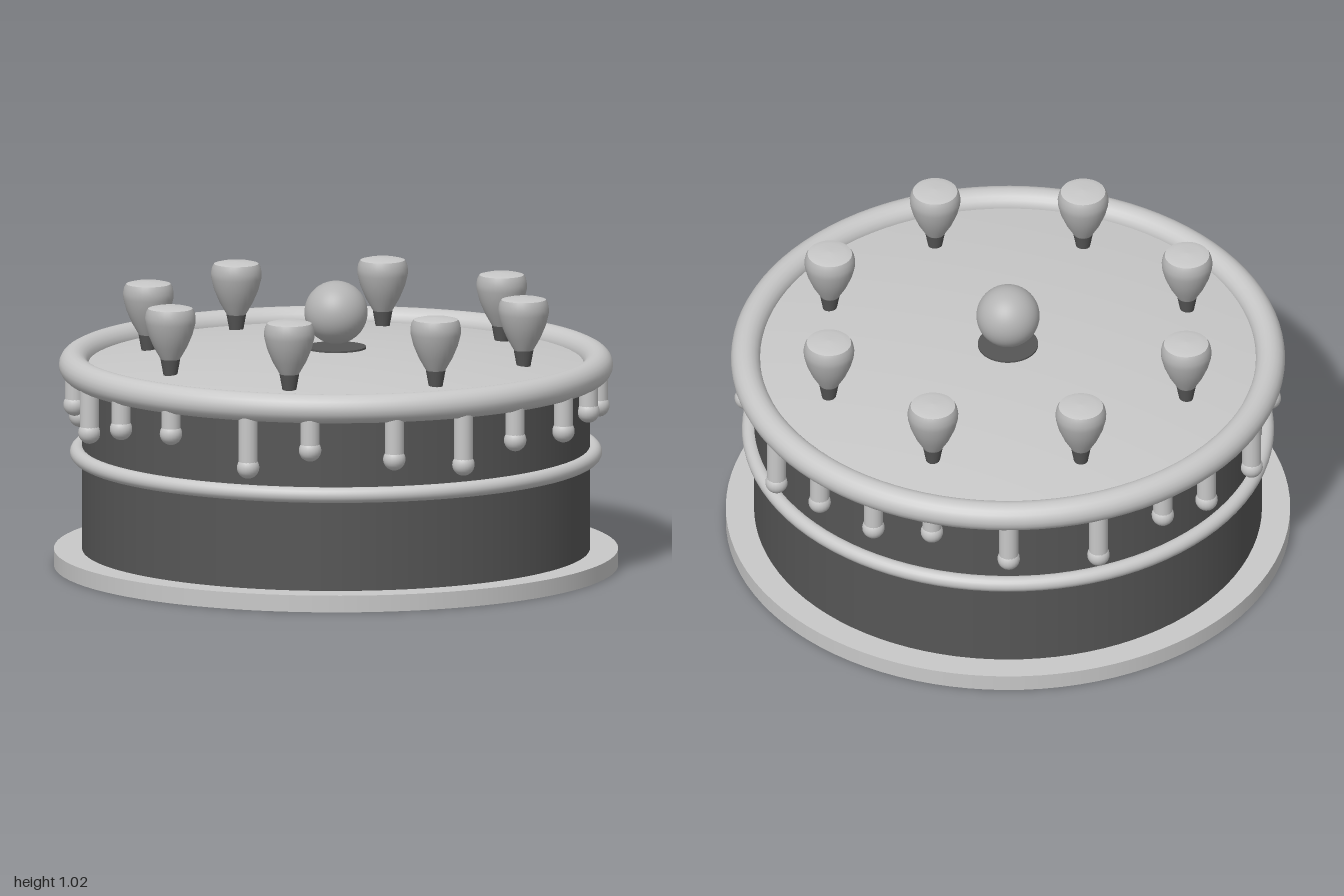
import * as THREE from 'three';

const flat = (name, color) => {
  const m = new THREE.MeshStandardMaterial({ color });
  m.name = name;
  return m;
};

export function createModel() {
  const cream = flat('light grey icing', 0xc8c8c8);
  const sponge = flat('dark grey sponge', 0x565656);
  const fruit = flat('mid grey topping', 0xb4b4b4);

  const cake = new THREE.Group();
  cake.name = 'cake';

  const add = (name, geometry, material, x = 0, y = 0, z = 0, parent = cake) => {
    const mesh = new THREE.Mesh(geometry, material);
    mesh.name = name;
    mesh.position.set(x, y, z);
    parent.add(mesh);
    return mesh;
  };
  const lathe = (points, segments) =>
    new THREE.LatheGeometry(points.map(([r, y]) => new THREE.Vector2(r, y)), segments);
  const ring = (radius, tube) =>
    new THREE.TorusGeometry(radius, tube, 20, 96).rotateX(Math.PI / 2);

  // Plate and cake body
  add('plate', new THREE.CylinderGeometry(1, 1, 0.06, 96), cream, 0, 0.03);
  add('cakeBody', new THREE.CylinderGeometry(0.9, 0.9, 0.66, 96, 1, true), sponge, 0, 0.39);

  // Gently domed icing on top
  const dome = [];
  for (let i = 0; i <= 12; i++) {
    const r = 0.9 * (1 - i / 12);
    dome.push([r, 0.78 - 0.074 * r * r]);
  }
  add('icingTop', lathe(dome, 96), cream);

  // Rolled rim and middle band
  add('icingRim', ring(0.93, 0.052), cream, 0, 0.72);
  add('middleBand', ring(0.915, 0.028), cream, 0, 0.407);

  // Icing drips: angle round the cake from the front, and lowest point
  const drips = [
    [8.3, 0.53], [26.8, 0.495], [43, 0.46], [57, 0.525], [74, 0.52], [88, 0.555],
    [105, 0.53], [115, 0.53], [141, 0.46], [157, 0.53], [172, 0.53], [186, 0.58],
    [203, 0.49], [223, 0.465], [239, 0.55], [252, 0.51], [271, 0.46], [289, 0.55],
    [304, 0.49], [319, 0.54], [335, 0.555], [354.4, 0.46],
  ];
  const beadGeometry = new THREE.SphereGeometry(0.04, 20, 14);
  for (const [degrees, bottom] of drips) {
    const a = THREE.MathUtils.degToRad(degrees);
    const drip = new THREE.Group();
    drip.name = 'drip';
    drip.position.set(0.93 * Math.sin(a), 0, 0.93 * Math.cos(a));
    cake.add(drip);
    const low = bottom + 0.04;
    const stem = new THREE.CylinderGeometry(0.034, 0.034, 0.71 - low, 16);
    add('dripStem', stem, cream, 0, (0.71 + low) / 2, 0, drip);
    add('dripBead', beadGeometry, cream, 0, low, 0, drip);
  }

  // Ring of eight tapered toppings with dark feet
  const bodyGeometry = lathe([
    [0.034, 0.8], [0.06, 0.845], [0.079, 0.89], [0.089, 0.93], [0.09, 0.95], [0.086, 0.97], [0.079, 0.982],
  ], 32);
  const capGeometry = lathe([[0.079, 0.982], [0.055, 0.988], [0, 0.991]], 32);
  const footGeometry = new THREE.CylinderGeometry(0.035, 0.024, 0.06, 24);
  for (let i = 0; i < 8; i++) {
    const a = (i * Math.PI) / 4;
    const topping = new THREE.Group();
    topping.name = 'topping';
    topping.position.set(0.685 * Math.sin(a), 0, 0.685 * Math.cos(a));
    cake.add(topping);
    add('toppingBody', bodyGeometry, fruit, 0, 0, 0, topping);
    add('toppingCap', capGeometry, cream, 0, 0, 0, topping);
    add('toppingFoot', footGeometry, sponge, 0, 0.77, 0, topping);
  }

  // Centre ball on a thin dark disc
  add('centreDisc', new THREE.CylinderGeometry(0.107, 0.107, 0.009, 40), sponge, 0, 0.781);
  add('centreBall', new THREE.SphereGeometry(0.112, 40, 28), fruit, 0, 0.908);

  return cake;
}
